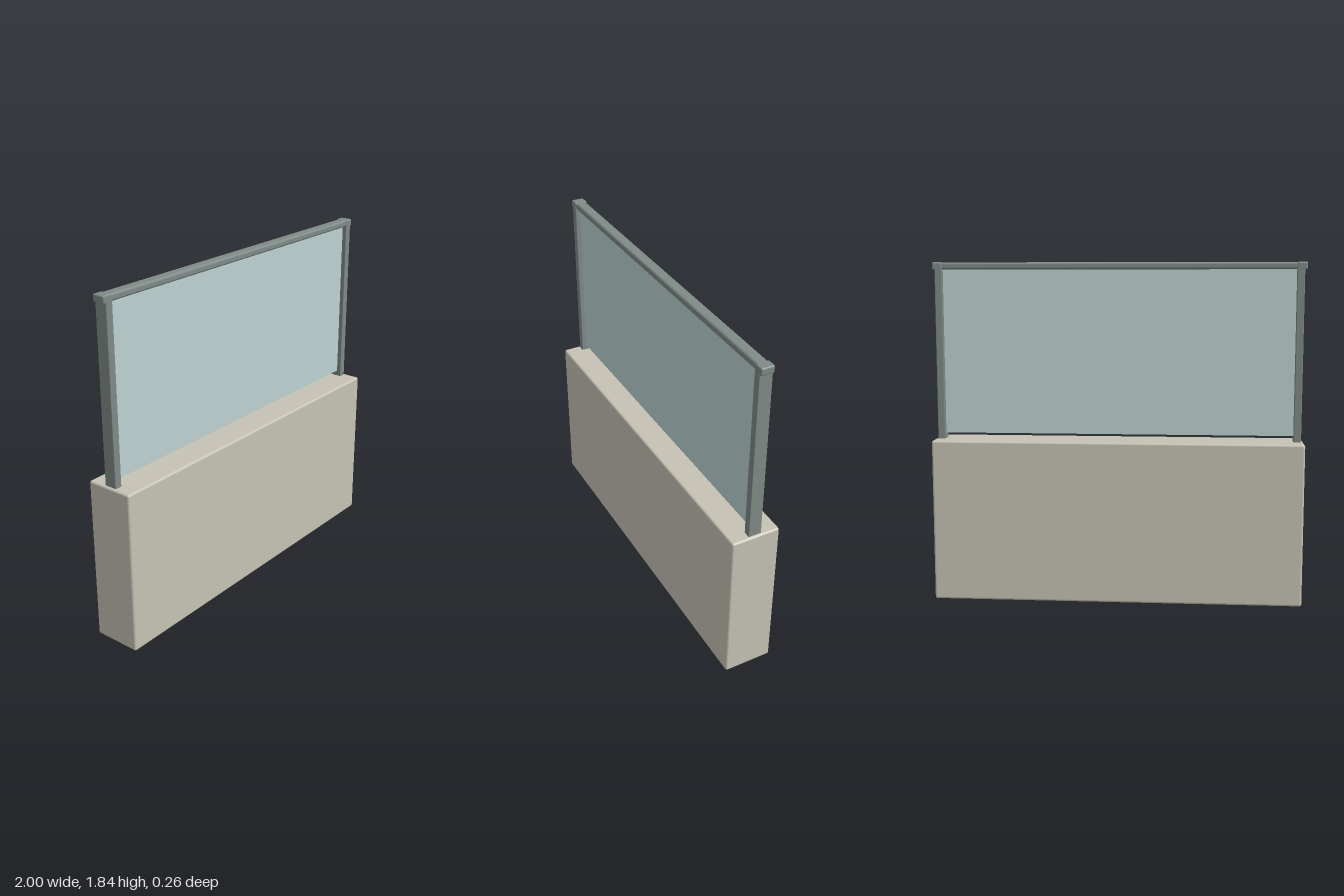
import * as THREE from 'three';
import { RoundedBoxGeometry } from 'three/addons/geometries/RoundedBoxGeometry.js';

const stone = new THREE.MeshStandardMaterial({ color: 0xc6c2b4 });
const metal = new THREE.MeshStandardMaterial({ color: 0x7f8a87 });
const glass = new THREE.MeshStandardMaterial({ color: 0xbcd3d1 });

// Softly rounded block centred on x and z, standing between two heights
function block(name, material, width, depth, bottom, top, radius, x = 0) {
  const geometry = new RoundedBoxGeometry(width, top - bottom, depth, 3, radius);
  const mesh = new THREE.Mesh(geometry, material);
  mesh.name = name;
  mesh.position.set(x, (bottom + top) / 2, 0);
  return mesh;
}

export function createModel() {
  const group = new THREE.Group();
  group.name = 'glazedParapet';

  // Solid low wall
  group.add(block('wall', stone, 2, 0.264, 0, 0.88, 0.012));

  // Glass sheet, held clear of the wall top
  const pane = new THREE.Mesh(new THREE.BoxGeometry(1.91, 0.9, 0.02), glass);
  pane.name = 'glassPane';
  pane.position.y = 1.36;
  group.add(pane);

  // Posts with wider caps at both ends
  for (const [side, sign] of [['left', 1], ['right', -1]]) {
    group.add(block(side + 'Post', metal, 0.04, 0.07, 0.875, 1.815, 0.004, sign * 0.966));
    group.add(block(side + 'PostCap', metal, 0.054, 0.07, 1.795, 1.835, 0.008, sign * 0.973));
  }

  // Handrail along the top
  group.add(block('topRail', metal, 1.96, 0.06, 1.796, 1.834, 0.012));

  return group;
}
